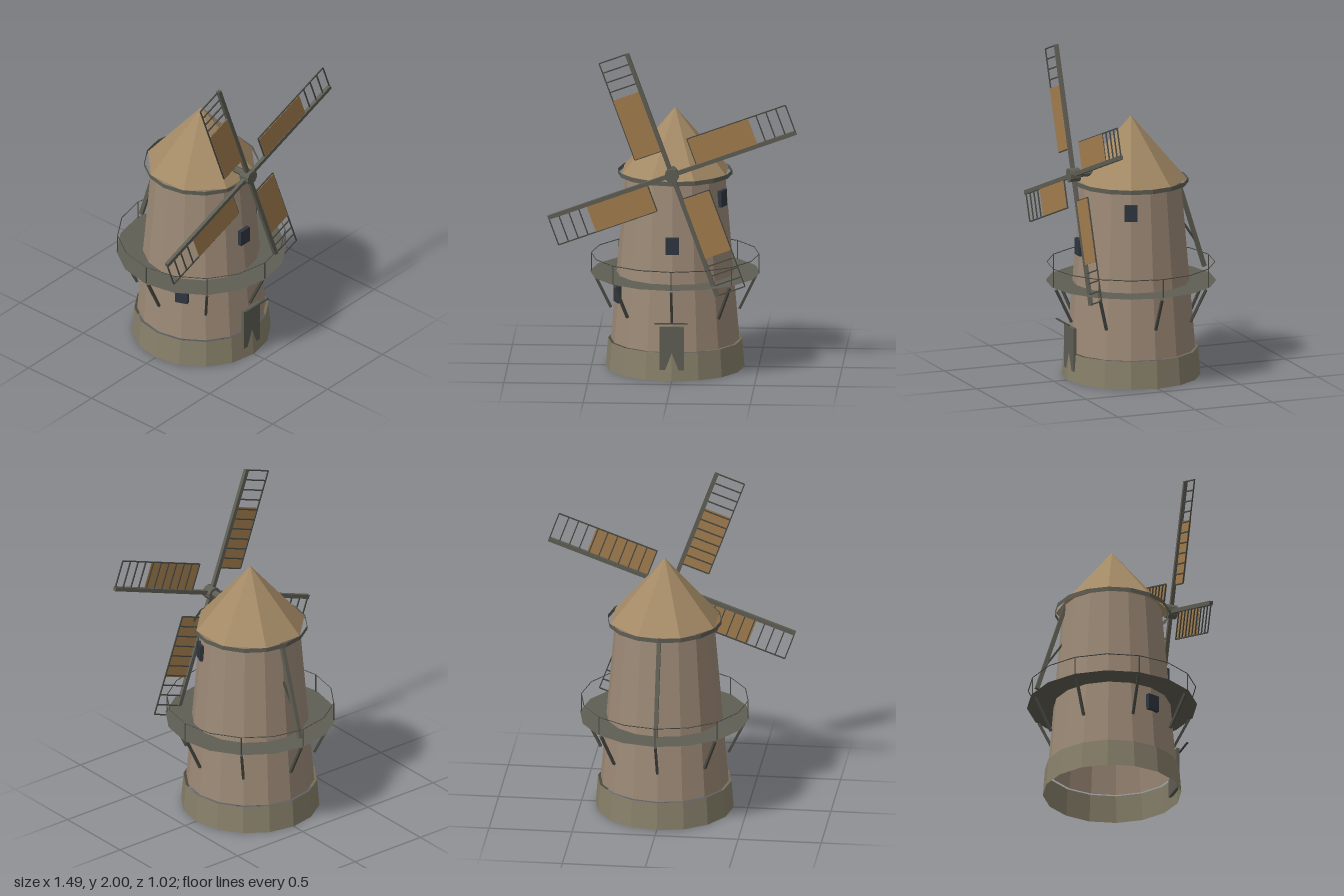
import * as THREE from 'three';

const mat = (color) => new THREE.MeshStandardMaterial({ color, flatShading: true, side: THREE.DoubleSide });
const stone = mat(0x9c8976), plinth = mat(0x87806a), shingle = mat(0xa48a66);
const timber = mat(0x5f5e54), darkWood = mat(0x4a4a44), cloth = mat(0xa27d4e), glass = mat(0x2f3640);

function add(parent, name, geometry, material, x = 0, y = 0, z = 0) {
  const mesh = new THREE.Mesh(geometry, material);
  mesh.name = name;
  mesh.position.set(x, y, z);
  parent.add(mesh);
  return mesh;
}

// Open band between two heights, with a corner on each axis
function band(parent, name, rTop, rBottom, y0, y1, material) {
  const geometry = new THREE.CylinderGeometry(rTop, rBottom, y1 - y0, 16, 1, true);
  return add(parent, name, geometry, material, 0, (y0 + y1) / 2, 0);
}

// Square beam from a to b
function beam(parent, name, a, b, size, material) {
  const from = new THREE.Vector3(...a), to = new THREE.Vector3(...b);
  const mesh = add(parent, name, new THREE.BoxGeometry(size, size, from.distanceTo(to)), material);
  mesh.position.copy(from).lerp(to, 0.5);
  mesh.lookAt(to);
  return mesh;
}

function makeSail() {
  const sail = new THREE.Group();
  const inner = 0.16, outer = 0.787, width = 0.178, bays = 10;
  add(sail, 'spar', new THREE.BoxGeometry(0.79, 0.025, 0.022), timber, 0.395, 0, 0);
  // lattice
  const length = outer - inner;
  add(sail, 'outerRail', new THREE.BoxGeometry(length, 0.007, 0.007), darkWood, inner + length / 2, width, 0);
  for (let i = 0; i <= bays; i++) {
    add(sail, 'crossBar', new THREE.BoxGeometry(0.007, width, 0.007), darkWood, inner + length * i / bays, width / 2, 0);
  }
  // cloth over the inner bays
  add(sail, 'sailCloth', new THREE.BoxGeometry(0.385, 0.163, 0.003), cloth, 0.355, 0.094, 0.006);
  return sail;
}

export function createModel() {
  const mill = new THREE.Group();
  mill.name = 'windmill';

  // Tower
  band(mill, 'plinth', 0.402, 0.415, 0, 0.17, plinth);
  band(mill, 'tower', 0.298, 0.385, 0.17, 1.2, stone);

  // Roof and eave band
  const roof = add(mill, 'roof', new THREE.ConeGeometry(0.337, 0.39, 8, 1, true), shingle, 0, 1.395, 0);
  roof.rotation.y = Math.PI / 8;
  band(mill, 'eaveBand', 0.343, 0.343, 1.18, 1.207, timber);

  // Gallery: deck, braces and railing
  const deck = add(mill, 'galleryDeck', new THREE.RingGeometry(0.33, 0.51, 16), timber, 0, 0.577, 0);
  deck.rotation.x = -Math.PI / 2;
  const rail = add(mill, 'galleryRail', new THREE.TorusGeometry(0.502, 0.003, 4, 16), darkWood, 0, 0.69, 0);
  rail.rotation.x = -Math.PI / 2;
  for (let i = 0; i < 8; i++) {
    const c = Math.cos(i * Math.PI / 4), s = Math.sin(i * Math.PI / 4);
    beam(mill, 'galleryBrace', [0.385 * c, 0.355, 0.385 * s], [0.485 * c, 0.56, 0.485 * s], 0.015, darkWood);
    beam(mill, 'railPost', [0.502 * c, 0.577, 0.502 * s], [0.502 * c, 0.69, 0.502 * s], 0.005, darkWood);
  }

  // Door and lintel
  add(mill, 'door', new THREE.BoxGeometry(0.146, 0.265, 0.02), timber, 0, 0.1975, 0.392);
  add(mill, 'doorLintel', new THREE.BoxGeometry(0.2, 0.006, 0.012), darkWood, 0, 0.36, 0.442);

  // Windows: angle from the front, height, distance out
  for (const [angle, y, r] of [[0, 0.812, 0.338], [Math.PI * 3 / 8, 1.06, 0.312], [-Math.PI * 3 / 8, 0.47, 0.366]]) {
    const pane = add(mill, 'window', new THREE.BoxGeometry(0.08, 0.1, 0.025), glass, r * Math.sin(angle), y, r * Math.cos(angle));
    pane.rotation.y = angle;
  }

  // Tail pole and strut at the back
  beam(mill, 'tailPole', [0, 1.19, -0.295], [0, 0.62, -0.475], 0.024, timber);
  beam(mill, 'tailStrut', [0, 0.95, -0.305], [0, 0.75, -0.44], 0.012, darkWood);

  // Shaft, hub and four sails
  const rotor = new THREE.Group();
  rotor.name = 'rotor';
  rotor.position.set(0, 1.257, 0.372);
  mill.add(rotor);
  const shaft = add(rotor, 'shaft', new THREE.CylinderGeometry(0.022, 0.022, 0.22, 8), timber, 0, 0.005, -0.11);
  const hub = add(rotor, 'hub', new THREE.CylinderGeometry(0.043, 0.043, 0.065, 10), timber);
  shaft.rotation.x = hub.rotation.x = Math.PI / 2;
  for (let i = 0; i < 4; i++) {
    const sail = makeSail();
    sail.name = 'sail';
    sail.rotation.z = THREE.MathUtils.degToRad(20 + 90 * i);
    rotor.add(sail);
  }
  return mill;
}
